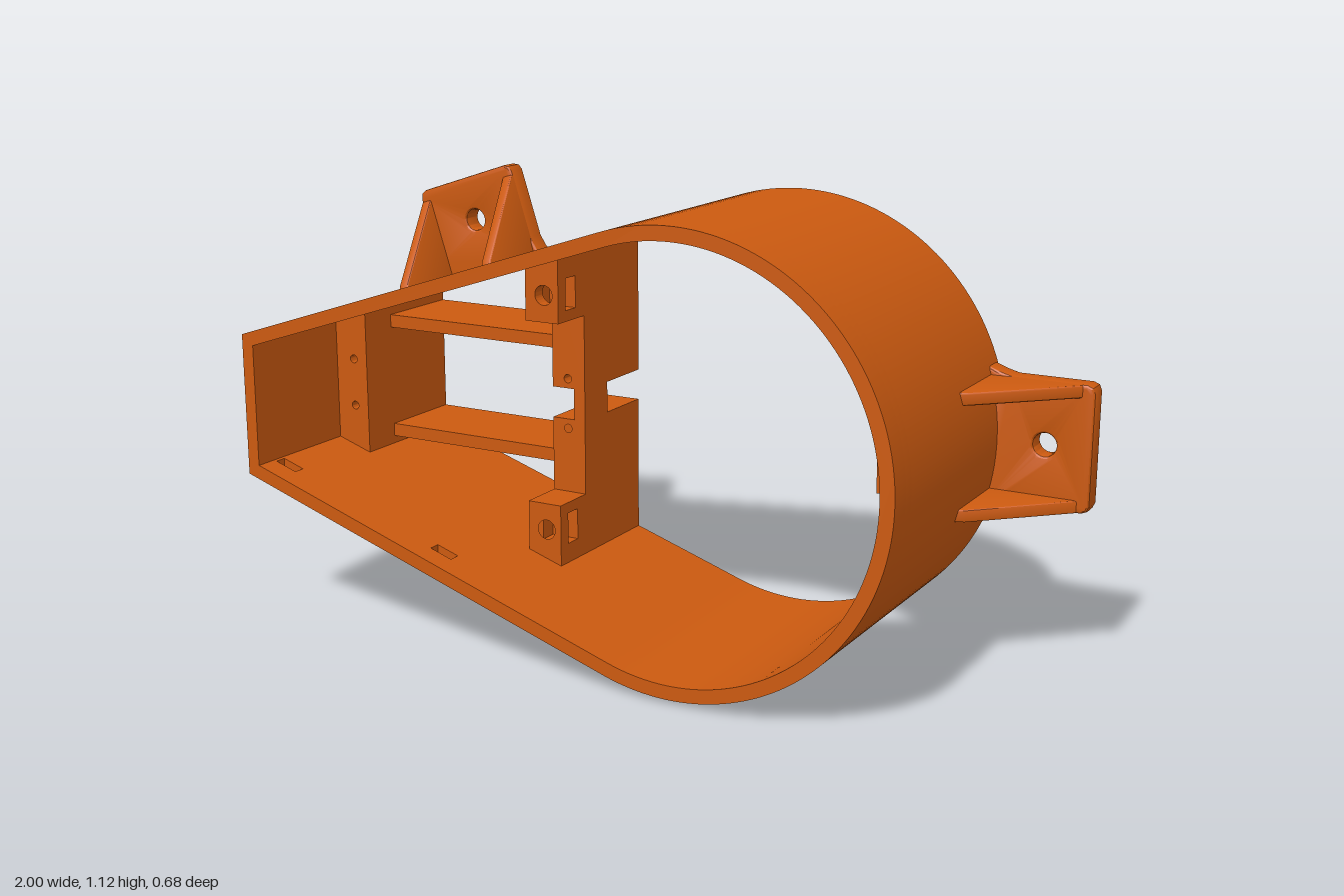
import * as THREE from 'three';
import { toCreasedNormals } from 'three/addons/utils/BufferGeometryUtils.js';

const CY = 0.566, CX = 0.22;            // centre of the round end
const RO = 0.55, RI = 0.515;            // outer and inner wall radius
const SIN = Math.sin(Math.PI / 10), COS = Math.cos(Math.PI / 10); // wall taper of 18 degrees
const BACK = -0.34, FRONT = 0.34, LUG = 0.05;

// Height above the centre line of the tapered wall at x, for a wall offset r
const wall = (x, r) => (r + SIN * (x - CX)) / COS;

const poly = (pts) => new THREE.Shape(pts.map(([x, y]) => new THREE.Vector2(x, y)));

function addHole(shape, x, y, r) {
  shape.holes.push(new THREE.Path().absarc(x, y, r, 0, Math.PI * 2, true));
  return shape;
}

// Extrude a front-view shape between two depths
function slab(shape, z0, z1, bevel = 0) {
  const geo = new THREE.ExtrudeGeometry(shape, {
    depth: z1 - z0 - 2 * bevel, curveSegments: 48, bevelEnabled: bevel > 0,
    bevelSize: bevel, bevelThickness: bevel, bevelOffset: -bevel, bevelSegments: 3,
  });
  return geo.translate(0, 0, z0 + bevel);
}

// Teardrop ring; the inside may carry shallow latch notches
function shellShape(notches) {
  const s = new THREE.Shape();
  const a = Math.PI * 0.6;
  s.moveTo(-1, CY - wall(-1, RO));
  s.lineTo(CX - SIN * RO, CY - COS * RO);
  s.absarc(CX, CY, RO, -a, a, false);
  s.lineTo(-1, CY + wall(-1, RO));
  s.closePath();

  const edge = [[-0.967, RI]];
  for (const x of notches) {
    edge.push([x - 0.03, RI], [x - 0.03, 0.538], [x + 0.03, 0.538], [x + 0.03, RI]);
  }
  const h = new THREE.Path();
  edge.forEach(([x, r], i) => h[i ? 'lineTo' : 'moveTo'](x, CY - wall(x, r)));
  h.lineTo(CX - SIN * RI, CY - COS * RI);
  h.absarc(CX, CY, RI, -a, a, false);
  edge.reverse().forEach(([x, r]) => h.lineTo(x, CY + wall(x, r)));
  s.holes.push(h);
  return s;
}

export function createModel() {
  const root = new THREE.Group();
  root.name = 'teardropHousing';
  const orange = new THREE.MeshStandardMaterial({ color: 0xcc5a10 });
  orange.name = 'orange';

  const add = (name, geo, parent = root) => {
    const mesh = new THREE.Mesh(toCreasedNormals(geo, 0.5), orange);
    mesh.name = name;
    parent.add(mesh);
    return mesh;
  };

  // Outer wall, with a notched layer near the front rim
  add('shellBack', slab(shellShape([]), BACK, 0.25));
  add('shellNotched', slab(shellShape([-0.93, -0.45]), 0.25, 0.28));
  add('shellFront', slab(shellShape([]), 0.28, FRONT));

  // End block at the narrow end, with two pilot holes
  const endShape = () => poly([
    [-0.98, CY - wall(-0.98, 0.53)], [-0.87, CY - wall(-0.87, 0.53)],
    [-0.87, CY + wall(-0.87, 0.53)], [-0.98, CY + wall(-0.98, 0.53)],
  ]);
  add('endBlock', slab(endShape(), BACK, -0.06));
  const drilled = endShape();
  for (const s of [-1, 1]) addHole(drilled, -0.912, CY + s * 0.063, 0.011);
  add('endBlockFace', slab(drilled, -0.06, 0.01));

  // Crossbar: split at the back, joined by a thin bridge further forward
  const x0 = -0.34, x1 = -0.245, gap = 0.04;
  const barHalf = (s) => poly([
    [x0, CY + s * gap], [x1, CY + s * gap],
    [x1, CY + s * wall(x1, 0.53)], [x0, CY + s * wall(x0, 0.53)],
  ]);
  for (const s of [-1, 1]) {
    const side = s > 0 ? 'upper' : 'lower';
    add(side + 'Crossbar', slab(barHalf(s), BACK, -0.12));
    add(side + 'CrossbarFace', slab(addHole(barHalf(s), -0.295, CY + s * 0.065, 0.011), -0.12, -0.07));

    // Rails running from the end block to the crossbar
    const rail = new THREE.BoxGeometry(0.55, 0.034, 0.24);
    add(side + 'Rail', rail.translate(-0.605, CY + s * 0.15, BACK + 0.12));

    // Screw boss: solid base, side nut slot, drilled face
    const yIn = CY + s * 0.232, yc = CY + s * 0.3;
    const boss = () => poly([
      [x0, yIn], [x1, yIn], [x1, CY + s * wall(x1, 0.53)], [x0, CY + s * wall(x0, 0.53)],
    ]);
    const slotted = poly([
      [x0, yIn], [x1, yIn], [x1, yc - s * 0.04], [-0.32, yc - s * 0.04], [-0.32, yc + s * 0.04],
      [x1, yc + s * 0.04], [x1, CY + s * wall(x1, 0.53)], [x0, CY + s * wall(x0, 0.53)],
    ]);
    add(side + 'BossBase', slab(boss(), -0.07, -0.03));
    add(side + 'BossNutSlot', slab(slotted, -0.03, 0.015));
    add(side + 'BossFace', slab(addHole(boss(), -0.287, yc, 0.025), 0.015, LUG));
  }
  add('crossbarBridge', new THREE.BoxGeometry(0.032, gap * 2, 0.11).translate(-0.261, CY, -0.125));

  // Screw tab inside the round end, its back sloping into the wall
  const t0 = 0.605, t1 = 0.75, tw = 0.072;
  const tab = () => addHole(poly([[t0, CY - tw], [t1, CY - tw], [t1, CY + tw], [t0, CY + tw]]), 0.69, CY, 0.025);
  const slope = slab(tab(), -0.07, -0.03);
  const p = slope.attributes.position;
  for (let i = 0; i < p.count; i++) {
    if (p.getZ(i) < -0.05) p.setZ(i, -0.07 - (p.getX(i) - t0));
  }
  slope.computeVertexNormals();
  add('tabSlope', slope);
  add('tabNutSlot', slab(poly([
    [t0, CY - tw], [t1, CY - tw], [t1, CY + tw], [t0, CY + tw],
    [t0, CY + 0.04], [0.725, CY + 0.04], [0.725, CY - 0.04], [t0, CY - 0.04],
  ]), -0.03, 0.015));
  add('tabFace', slab(tab(), 0.015, LUG));

  // Mounting brackets: drilled plate and two gussets, local x pointing outward
  const w = 0.155, tip = 0.115, foot = -0.148, c = 0.02;
  function bracket(name, x, y, angle) {
    const g = new THREE.Group();
    g.name = name;
    g.position.set(x, y, 0);
    g.rotation.z = angle;
    const plate = poly([
      [foot, -w - 0.02], [-0.115, -w - 0.008], [-0.085, -w], [tip - c, -w], [tip - 0.006, -w + 0.006], [tip, -w + c],
      [tip, w - c], [tip - 0.006, w - 0.006], [tip - c, w], [-0.085, w], [-0.115, w + 0.008], [foot, w + 0.02],
    ]);
    add('mountPlate', slab(addHole(plate, 0, 0, 0.028), BACK, -0.28, 0.01), g);
    for (const s of [-1, 1]) {
      const gusset = slab(poly([
        [foot, -0.3], [0.085, -0.3], [0.085, -0.28], [-0.115, -0.085], [foot, -0.07],
      ]), -0.0155, 0.0155, 0.005);
      add('gusset', gusset.rotateX(Math.PI / 2).translate(0, s * (w - 0.0165), 0), g);
    }
    root.add(g);
  }
  bracket('endBracket', 0.885, CY, 0);
  bracket('upperBracket', -0.715, CY + 0.409, Math.PI * 0.6);
  bracket('lowerBracket', -0.715, CY - 0.409, -Math.PI * 0.6);

  return root;
}
